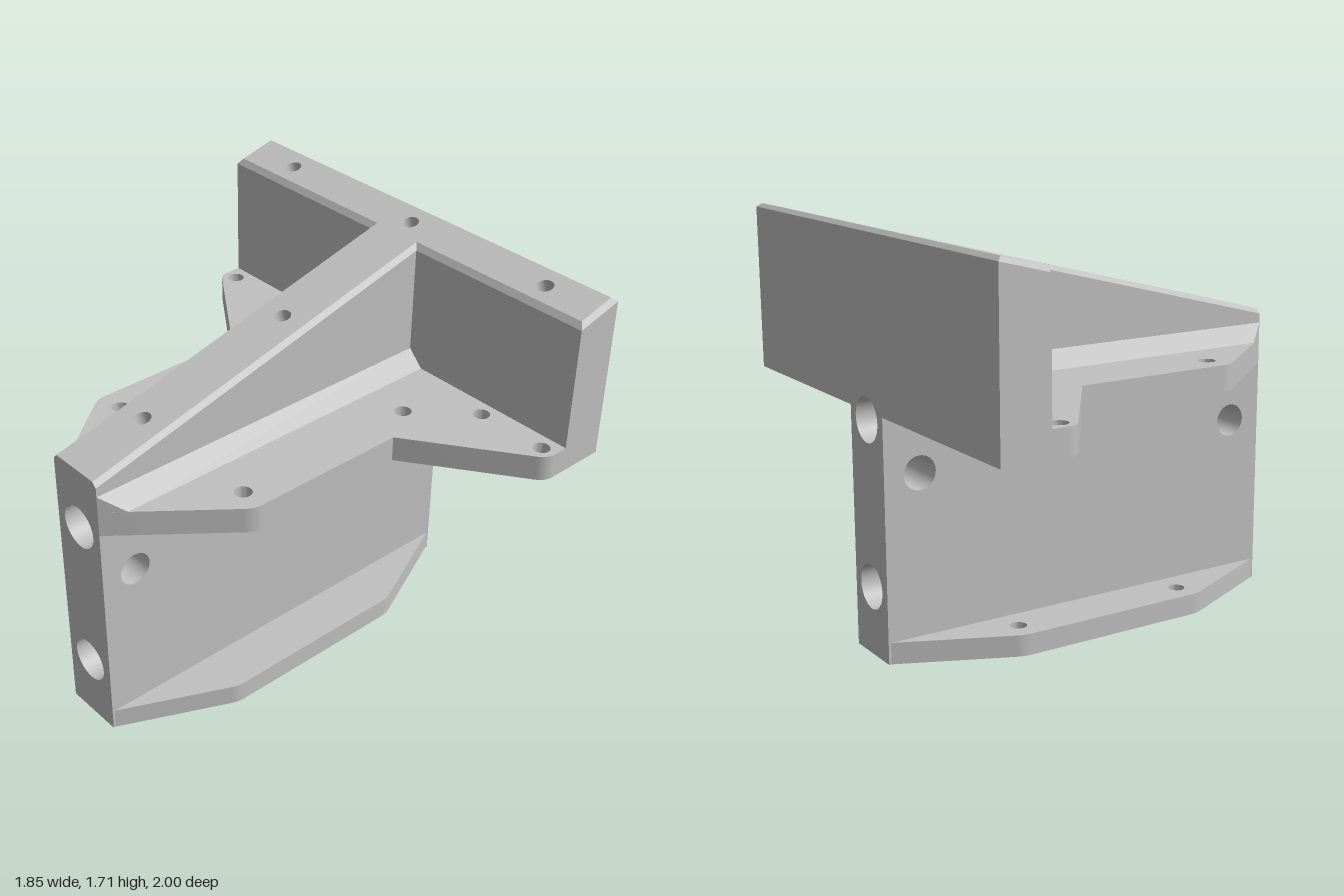
import * as THREE from 'three';
import { toCreasedNormals } from 'three/addons/utils/BufferGeometryUtils.js';

const X = 0.925, W = 0.135, C = 0.02;      // half length, half web thickness, chamfer
const SLOPE = 0.257, TILT = Math.atan(SLOPE);
const top = x => 1.24 + (x + X) * SLOPE;   // sloping top plane

const V = (x, y, z) => new THREE.Vector3(x, y, z);
const poly = pts => new THREE.Shape(pts.map(p => new THREE.Vector2(p[0], p[1])));

function addHole(shape, x, y, rx, ry = rx) {
  shape.holes.push(new THREE.Path().absellipse(x, y, rx, ry, 0, Math.PI * 2, true));
}

// flat four-cornered (or triangular) faces from corner lists
function faces(list) {
  const pts = [];
  for (const f of list) {
    for (let i = 1; i < f.length - 1; i++) pts.push(f[0], f[i], f[i + 1]);
  }
  const g = new THREE.BufferGeometry().setFromPoints(pts);
  g.computeVertexNormals();
  return g;
}

export function createModel() {
  const group = new THREE.Group();
  const grey = new THREE.MeshStandardMaterial({ color: 0xc0c0c0, side: THREE.DoubleSide });
  grey.name = 'light grey';
  const add = (name, geo) => {
    const m = new THREE.Mesh(geo, grey);
    m.name = name;
    group.add(m);
    return m;
  };
  const flat = shape => new THREE.ShapeGeometry(shape, 24);

  // web sides with two cross holes
  const crossX = [-0.77, 0.77];
  const side = poly([[-X, 0], [X, 0], [X, 1], [-X, 1]]);
  crossX.forEach(x => addHole(side, x, 0.76, 0.07));
  add('webFront', flat(side).translate(0, 0, W));
  add('webBack', flat(side).rotateY(Math.PI).translate(0, 0, -W));
  for (const x of crossX) {
    add('crossHole', new THREE.CylinderGeometry(0.07, 0.07, 2 * W, 48, 1, true)
      .rotateX(Math.PI / 2).translate(x, 0.76, 0));
  }
  add('webBottom', new THREE.PlaneGeometry(2 * X, 2 * W).rotateX(Math.PI / 2));

  // end faces with two long bores
  const bores = [0.285, 0.965], boreR = 0.093;
  const edgeY = top(X) - C;
  const right = poly([[-W, 0], [W, 0], [W, 1], [1, 1], [1, edgeY], [-1, edgeY], [-1, 1], [-W, 1]]);
  const left = poly([[-W, 0], [W, 0], [W, 1.22], [W - C, 1.24], [C - W, 1.24], [-W, 1.22]]);
  for (const y of bores) {
    addHole(right, 0, y, boreR);
    addHole(left, 0, y, boreR);
    add('longBore', new THREE.CylinderGeometry(boreR, boreR, 2 * X, 48, 1, true)
      .rotateZ(Math.PI / 2).translate(0, y, 0));
  }
  add('crossWallEnd', flat(right).rotateY(Math.PI / 2).translate(X, 0, 0));
  add('webEnd', flat(left).rotateY(-Math.PI / 2).translate(-X, 0, 0));

  // T-shaped upper walls and chamfer, outline as x, z
  const a = 0.72;
  const outer = [[-X, W], [a, W], [a, 1], [X, 1], [X, -1], [a, -1], [a, -W], [-X, -W]];
  const w = W - C, b = a + C, e = X - C, s = 1 - C;
  const inner = [[-X, w], [b, w], [b, s], [e, s], [e, -s], [b, -s], [b, -w], [-X, -w]];
  const walls = [], chamfers = [];
  for (let i = 0; i < 7; i++) {
    const [p, q, ip, iq] = [outer[i], outer[i + 1], inner[i], inner[i + 1]];
    const P = V(p[0], top(p[0]) - C, p[1]), Q = V(q[0], top(q[0]) - C, q[1]);
    if (i !== 3) walls.push([V(p[0], 1, p[1]), V(q[0], 1, q[1]), Q, P]);
    chamfers.push([P, Q, V(iq[0], top(iq[0]), iq[1]), V(ip[0], top(ip[0]), ip[1])]);
  }
  add('upperWalls', faces(walls));
  add('topChamfer', faces(chamfers));

  // sloping top with blind holes square to it
  const r = 0.035, depth = 0.18;
  const blind = [[-0.6, 0], [0.11, 0], [0.82, 0], [0.82, 0.73], [0.82, -0.73]];
  const cap = poly(inner);
  blind.forEach(([x, z]) => addHole(cap, x, -z, r * Math.cos(TILT), r));
  const capGeo = flat(cap).rotateX(-Math.PI / 2);
  const pos = capGeo.attributes.position;
  for (let i = 0; i < pos.count; i++) pos.setY(i, top(pos.getX(i)));
  capGeo.computeVertexNormals();
  add('slopingTop', capGeo);
  for (const [x, z] of blind) {
    const wall = new THREE.CylinderGeometry(r, r, depth, 32, 1, true).translate(0, -depth / 2, 0);
    const floor = new THREE.CircleGeometry(r, 32).rotateX(-Math.PI / 2).translate(0, -depth, 0);
    add('blindHole', wall.rotateZ(TILT).translate(x, top(x), z));
    add('blindHoleFloor', floor.rotateZ(TILT).translate(x, top(x), z));
  }

  // flanges on both sides of the web
  function flange(name, shape, holes, sgn, thick, topY) {
    holes.forEach(([x, z]) => addHole(shape, x, sgn * z, 0.036));
    const g = new THREE.ExtrudeGeometry(shape, { depth: thick, bevelEnabled: false, curveSegments: 16 });
    add(name, toCreasedNormals(g.rotateX(Math.PI / 2).translate(0, topY, 0), 0.4));
  }
  for (const k of [1, -1]) {
    const mid = new THREE.Shape();
    mid.moveTo(-X, k * W);
    mid.lineTo(-0.5, k * 0.473);
    mid.quadraticCurveTo(-0.465, k * 0.5, -0.43, k * 0.5);
    mid.lineTo(0.26, k * 0.5);
    mid.lineTo(0.592, k * 0.967);
    mid.quadraticCurveTo(0.615, k, 0.655, k);
    mid.lineTo(X, k);
    mid.lineTo(X, k * W);
    flange('middleFlange', mid, [[-0.43, 0.39], [0.425, 0.39], [0.65, 0.615], [0.65, 0.935]], k, 0.11, 1.11);

    const low = new THREE.Shape();
    low.moveTo(-0.915, k * W);
    low.lineTo(-0.46, k * 0.343);
    low.quadraticCurveTo(-0.433, k * 0.355, -0.4, k * 0.355);
    low.lineTo(0.4, k * 0.355);
    low.quadraticCurveTo(0.433, k * 0.355, 0.46, k * 0.343);
    low.lineTo(0.915, k * W);
    flange('bottomFlange', low, [[-0.4, 0.25], [0.4, 0.25]], k, 0.09, 0.09);

    // sloped gusset strip between web and middle flange
    const strip = [
      [V(-0.836, 1.11, k * 0.205), V(a, 1.11, k * 0.205), V(a, 1.18, k * W), V(-X, 1.18, k * W)],
      [V(-X, 1.11, k * W), V(-0.836, 1.11, k * 0.205), V(-X, 1.18, k * W)],
    ];
    if (k < 0) strip.forEach(f => f.reverse());
    add('gussetStrip', faces(strip));
  }
  return group;
}
